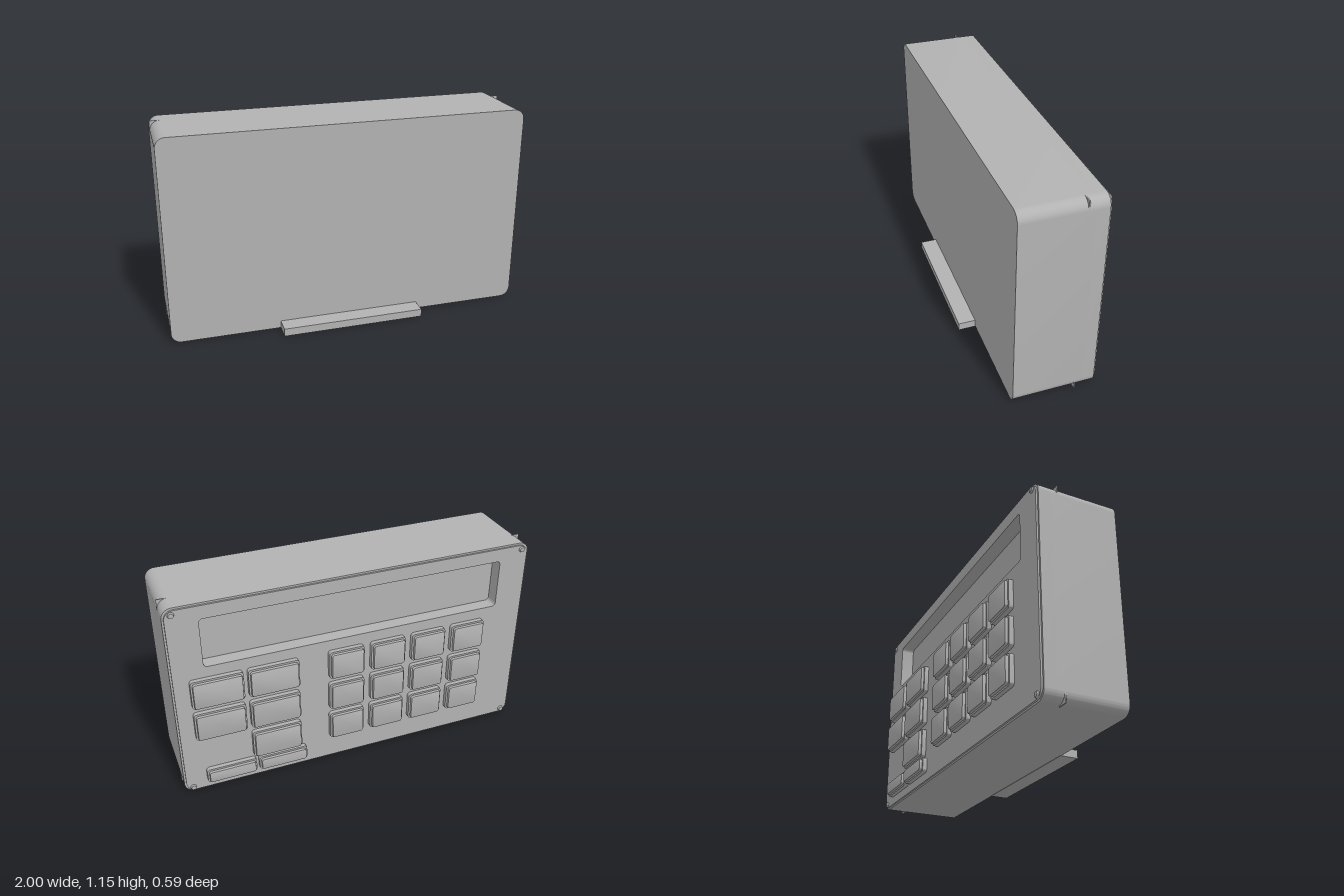
import * as THREE from 'three';
import { toCreasedNormals } from 'three/addons/utils/BufferGeometryUtils.js';

const H = 1.15;

// Rounded rectangle centred on (x, y)
function roundedRect(x, y, w, h, r, path = new THREE.Shape()) {
  const a = w / 2 - r, b = h / 2 - r;
  path.absarc(x + a, y + b, r, 0, Math.PI / 2);
  path.absarc(x - a, y + b, r, Math.PI / 2, Math.PI);
  path.absarc(x - a, y - b, r, Math.PI, Math.PI * 1.5);
  path.absarc(x + a, y - b, r, Math.PI * 1.5, Math.PI * 2);
  path.closePath();
  return path;
}

// Extrude a shape between two z depths, with an optional bevel kept inside the outline
function slab(shape, z0, z1, bevel = 0) {
  const geo = new THREE.ExtrudeGeometry(shape, {
    depth: z1 - z0 - 2 * bevel, curveSegments: 8,
    bevelEnabled: bevel > 0, bevelSize: bevel, bevelThickness: bevel,
    bevelOffset: -bevel, bevelSegments: 2,
  });
  geo.translate(0, 0, z0 + bevel);
  return toCreasedNormals(geo, 0.6);
}

export function createModel() {
  const model = new THREE.Group();
  model.name = 'keypadConsole';
  const grey = new THREE.MeshStandardMaterial({ color: 0xb2b2b2 });
  grey.name = 'casing grey';

  const add = (name, geo, parent = model) => {
    const mesh = new THREE.Mesh(geo, grey);
    mesh.name = name;
    parent.add(mesh);
    return mesh;
  };
  const withWindow = (shape) => {
    shape.holes.push(roundedRect(0, 0.928, 1.655, 0.276, 0.02, new THREE.Path()));
    return shape;
  };

  // Case: solid block whose rear wall closes the display recess, and a rear rim
  const cy = H / 2 + 0.002, ch = H - 0.004;
  add('caseBody', slab(roundedRect(0, cy, 2, ch, 0.055), -0.175, 0.2));
  add('caseRim', slab(withWindow(roundedRect(0, cy, 2, ch, 0.055)), -0.24, -0.175));
  add('keyPanel', slab(withWindow(roundedRect(0, cy, 1.98, ch - 0.02, 0.05)), -0.25, -0.24));

  // Ledge at the foot of the front
  const ledge = add('frontLedge', new THREE.BoxGeometry(0.8, 0.044, 0.1));
  ledge.position.set(0, 0.024, 0.245);

  // Keys: a straight base and a slightly smaller softened cap
  const keys = new THREE.Group();
  keys.name = 'keys';
  model.add(keys);
  const addKey = (x, y, w, h) => {
    const key = new THREE.Group();
    key.name = 'key';
    keys.add(key);
    add('keyBase', slab(roundedRect(x, y, w, h, 0.018), -0.275, -0.245), key);
    add('keyCap', slab(roundedRect(x, y, w - 0.018, h - 0.018, 0.014), -0.293, -0.272, 0.006), key);
  };
  const rows = [0.645, 0.443, 0.243];
  for (const y of rows) {
    for (let i = 0; i < 4; i++) addKey(-0.65 + i * 0.24, y, 0.2, 0.168);
    addKey(0.474, y, 0.275, 0.168);
  }
  for (const y of rows.slice(0, 2)) addKey(0.773, y, 0.275, 0.168);
  for (const x of [0.447, 0.738]) addKey(x, 0.103, 0.275, 0.085);

  // Corner screws and the thin square fins around the rounded case corners
  const screwGeo = new THREE.CylinderGeometry(0.013, 0.018, 0.012, 20);
  screwGeo.rotateX(-Math.PI / 2);
  for (const sx of [-1, 1]) {
    for (const sy of [-1, 1]) {
      const screw = add('cornerScrew', screwGeo);
      screw.position.set(sx * 0.955, H / 2 + sy * 0.541, -0.253);

      const x = sx, y = H / 2 + (sy * H) / 2;
      const corner = new THREE.Shape([
        new THREE.Vector2(x, y),
        new THREE.Vector2(x - sx * 0.055, y),
        new THREE.Vector2(x, y - sy * 0.055),
      ]);
      add('cornerFin', slab(corner, -0.138, -0.132));
    }
  }
  return model;
}
